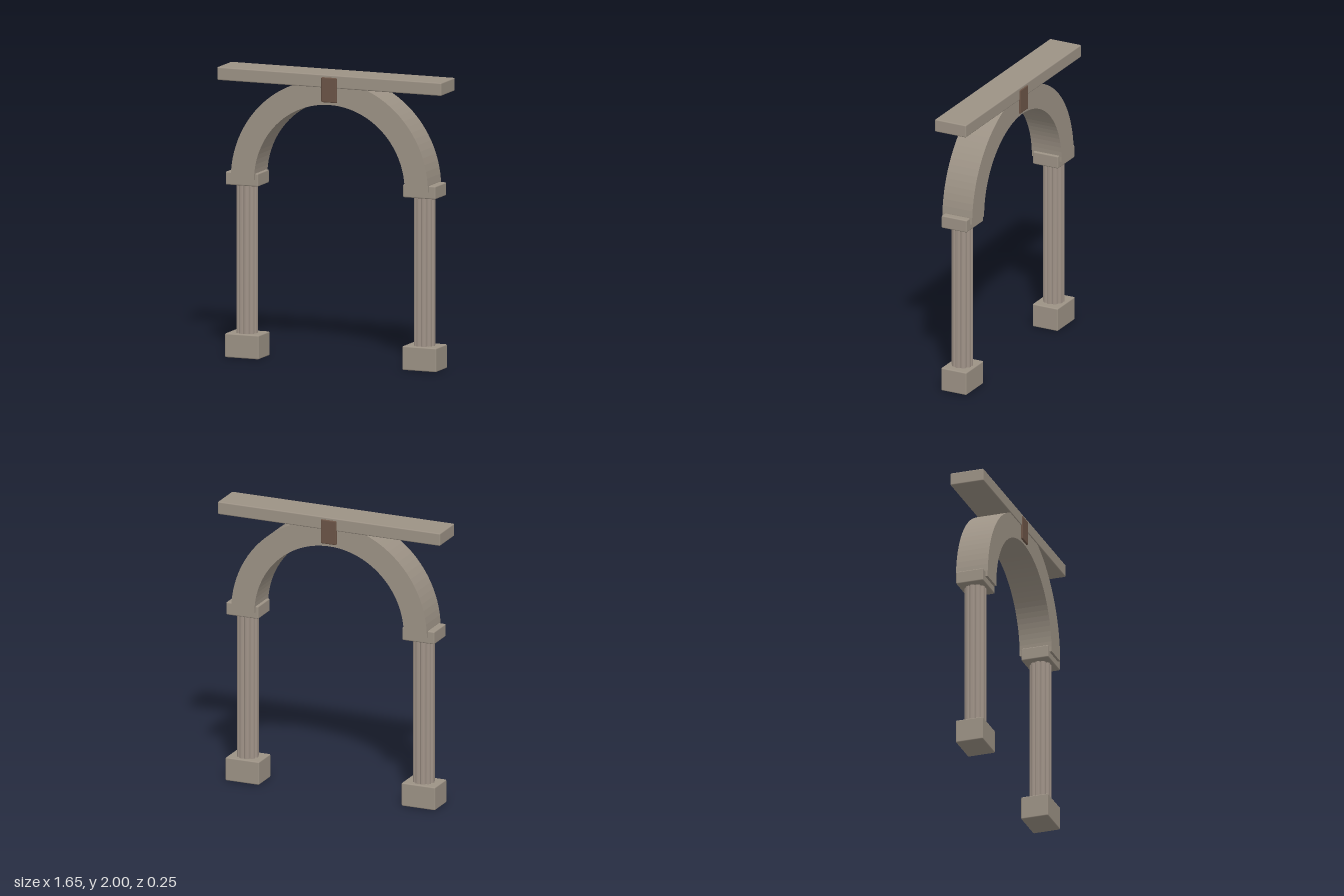
import * as THREE from 'three';
import { RoundedBoxGeometry } from 'three/addons/geometries/RoundedBoxGeometry.js';
import { toCreasedNormals } from 'three/addons/utils/BufferGeometryUtils.js';

const stone = new THREE.MeshStandardMaterial({ color: 0x9c9285 });
const shaftStone = new THREE.MeshStandardMaterial({ color: 0xa09388 });
const darkStone = new THREE.MeshStandardMaterial({ color: 0x6b5446 });

// Softly bevelled block spanning y0..y1
function block(name, width, y0, y1, depth, material = stone, x = 0) {
  const geometry = new RoundedBoxGeometry(width, y1 - y0, depth, 2, 0.008);
  const mesh = new THREE.Mesh(geometry, material);
  mesh.name = name;
  mesh.position.set(x, (y0 + y1) / 2, 0);
  return mesh;
}

// Column shaft with ten rounded ribs separated by sharp grooves
function flutedShaft(y0, y1) {
  const ribs = 10;
  const geometry = new THREE.CylinderGeometry(1, 1, y1 - y0, ribs * 8, 1);
  const p = geometry.attributes.position;
  for (let i = 0; i < p.count; i++) {
    const angle = Math.atan2(p.getX(i), p.getZ(i));
    const r = 0.063 + 0.012 * Math.sqrt(Math.abs(Math.sin(angle * ribs / 2)));
    const scale = Math.hypot(p.getX(i), p.getZ(i)) > 0.5 ? r : 0;
    p.setX(i, Math.sin(angle) * scale);
    p.setZ(i, Math.cos(angle) * scale);
  }
  const mesh = new THREE.Mesh(toCreasedNormals(geometry, 0.6), shaftStone);
  mesh.name = 'shaft';
  mesh.position.y = (y0 + y1) / 2;
  return mesh;
}

// Half-ring arch, faceted along its curve
function archRing(outer, inner, depth, springY) {
  const shape = new THREE.Shape();
  shape.absarc(0, 0, outer, 0, Math.PI, false);
  shape.absarc(0, 0, inner, Math.PI, 0, true);
  shape.closePath();
  const geometry = new THREE.ExtrudeGeometry(shape, { depth, bevelEnabled: false, curveSegments: 24 });
  geometry.translate(0, springY, -depth / 2);
  const mesh = new THREE.Mesh(geometry, stone);
  mesh.name = 'arch';
  return mesh;
}

export function createModel() {
  const model = new THREE.Group();
  model.name = 'archway';

  // Matching columns
  for (const side of [-1, 1]) {
    const column = new THREE.Group();
    column.name = side > 0 ? 'leftColumn' : 'rightColumn';
    column.position.x = side * 0.655;
    column.add(
      block('plinth', 0.25, 0, 0.165, 0.195),
      flutedShaft(0.15, 1.2),
      block('capital', 0.24, 1.19, 1.28, 0.195)
    );
    model.add(column);
  }

  // Arch, lintel and keystone
  model.add(
    archRing(0.728, 0.556, 0.23, 1.237),
    block('lintel', 1.655, 1.91, 2, 0.24),
    block('keystone', 0.115, 1.81, 1.983, 0.254, darkStone)
  );
  return model;
}
